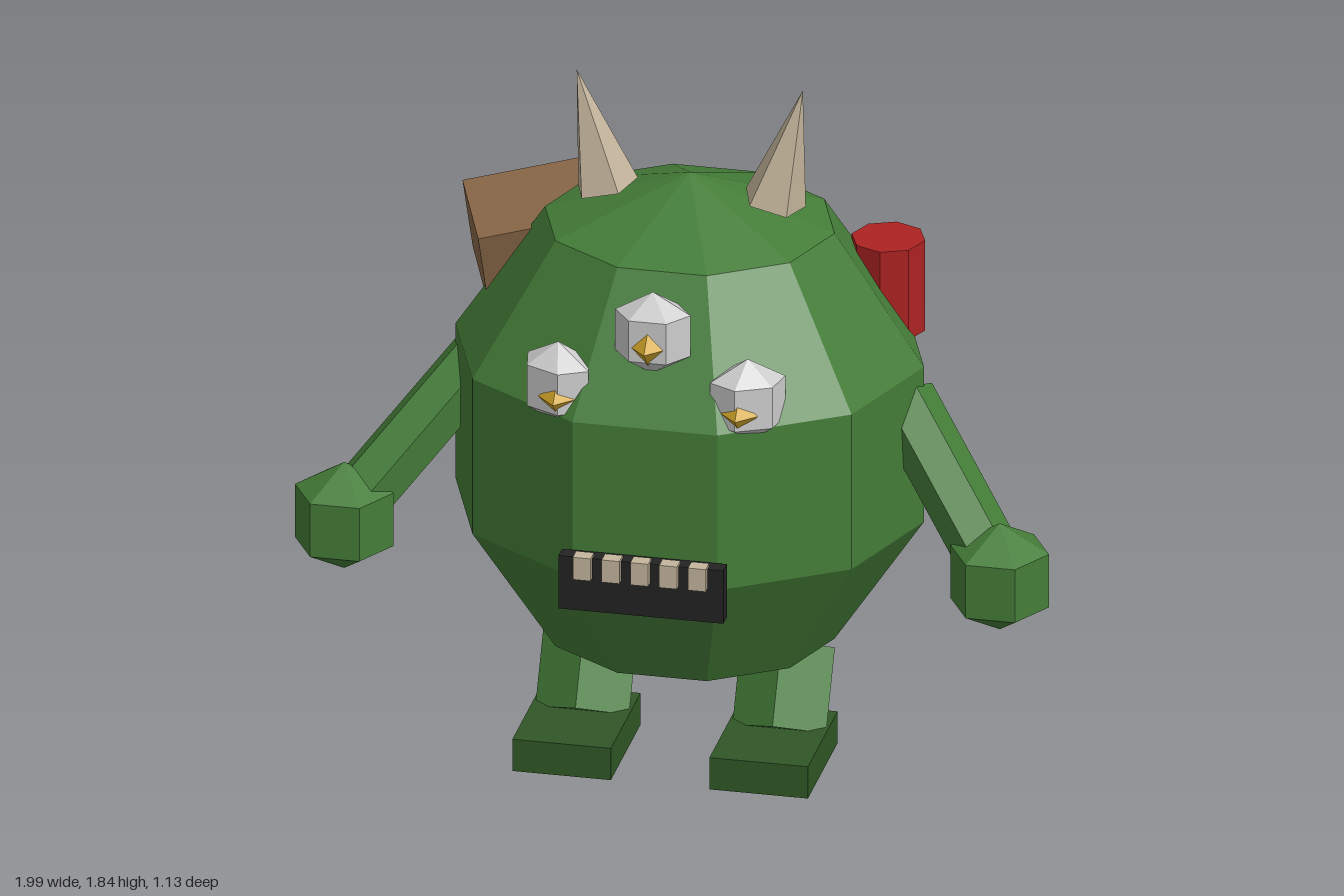
import * as THREE from 'three';

const mat = (name, color) => {
  const m = new THREE.MeshStandardMaterial({ color });
  m.name = name;
  return m;
};

export function createModel() {
  const root = new THREE.Group();
  root.name = 'monster';
  const green = mat('skin green', 0x447d38);
  const darkGreen = mat('foot green', 0x305726);
  const bone = mat('bone', 0xc4b59c);
  const grey = mat('eye grey', 0xcccccc);
  const gold = mat('pupil gold', 0xcfa428);
  const black = mat('mouth black', 0x232323);
  const red = mat('canister red', 0xac2222);
  const brown = mat('crate brown', 0x866546);

  // Adds a faceted mesh
  const add = (name, geo, material, pos, rot = [0, 0, 0]) => {
    const g = geo.index ? geo.toNonIndexed() : geo;
    g.computeVertexNormals();
    const mesh = new THREE.Mesh(g, material);
    mesh.name = name;
    mesh.position.set(...pos);
    mesh.rotation.set(...rot);
    root.add(mesh);
    return mesh;
  };
  const ball = (r, w, h, sx = 1, sy = 1, sz = 1) =>
    new THREE.SphereGeometry(r, w, h).scale(sx, sy, sz);
  const box = (w, h, d) => new THREE.BoxGeometry(w, h, d);

  // Round torso
  add('body', ball(1, 10, 5, 0.65, 0.71, 0.586), green, [0, 0.87, -0.03]);

  // Eyes with diamond pupils
  for (const [label, x, y, turn] of [['middle', 0, 1.32, 0], ['left', 0.25, 1.155, 0.45], ['right', -0.25, 1.155, -0.45]]) {
    add(label + 'Eye', ball(0.115, 6, 3, 1, 1, 0.77), grey, [x, y, 0.405], [0, turn, 0]);
    add(label + 'Pupil', new THREE.OctahedronGeometry(0.05), gold, [x * 0.96, y - 0.018, 0.463]);
  }

  // Mouth and teeth
  add('mouth', box(0.435, 0.15, 0.042), black, [0, 0.655, 0.526]);
  for (let i = -2; i <= 2; i++) {
    add('tooth', box(0.047, 0.063, 0.04), bone, [i * 0.076, 0.706, 0.546]);
  }

  // Paired parts
  for (const s of [1, -1]) {
    const side = s > 0 ? 'left' : 'right';

    add(side + 'Horn', new THREE.ConeGeometry(0.085, 0.33, 5).rotateY(Math.PI), bone,
      [s * 0.26, 1.68, -0.03], [0, 0, -s * 0.235]);

    const shoulder = new THREE.Vector3(s * 0.56, 0.99, -0.04);
    const wrist = new THREE.Vector3(s * 0.865, 0.615, 0.18);
    const axis = wrist.clone().sub(shoulder);
    const arm = add(side + 'Arm', new THREE.CylinderGeometry(0.085, 0.085, axis.length(), 6), green,
      shoulder.clone().add(wrist).multiplyScalar(0.5).toArray());
    arm.quaternion.setFromUnitVectors(new THREE.Vector3(0, 1, 0), axis.normalize());
    add(side + 'Hand', ball(0.15, 6, 3), green, wrist.toArray());

    add(side + 'Leg', new THREE.CylinderGeometry(0.13, 0.13, 0.223, 5), green,
      [s * 0.26, 0.155, -0.01], [-0.49, 0, 0]);
    add(side + 'Foot', box(0.26, 0.09, 0.35), darkGreen, [s * 0.26, 0.045, 0.145]);
  }

  // Items stuck in the back of the shoulders
  add('canister', new THREE.CylinderGeometry(0.097, 0.097, 0.255, 8), red, [0.475, 1.217, -0.25]);
  add('crate', box(0.33, 0.216, 0.263), brown, [-0.43, 1.31, -0.165], [0.205, 0.37, 0.08]);

  return root;
}
